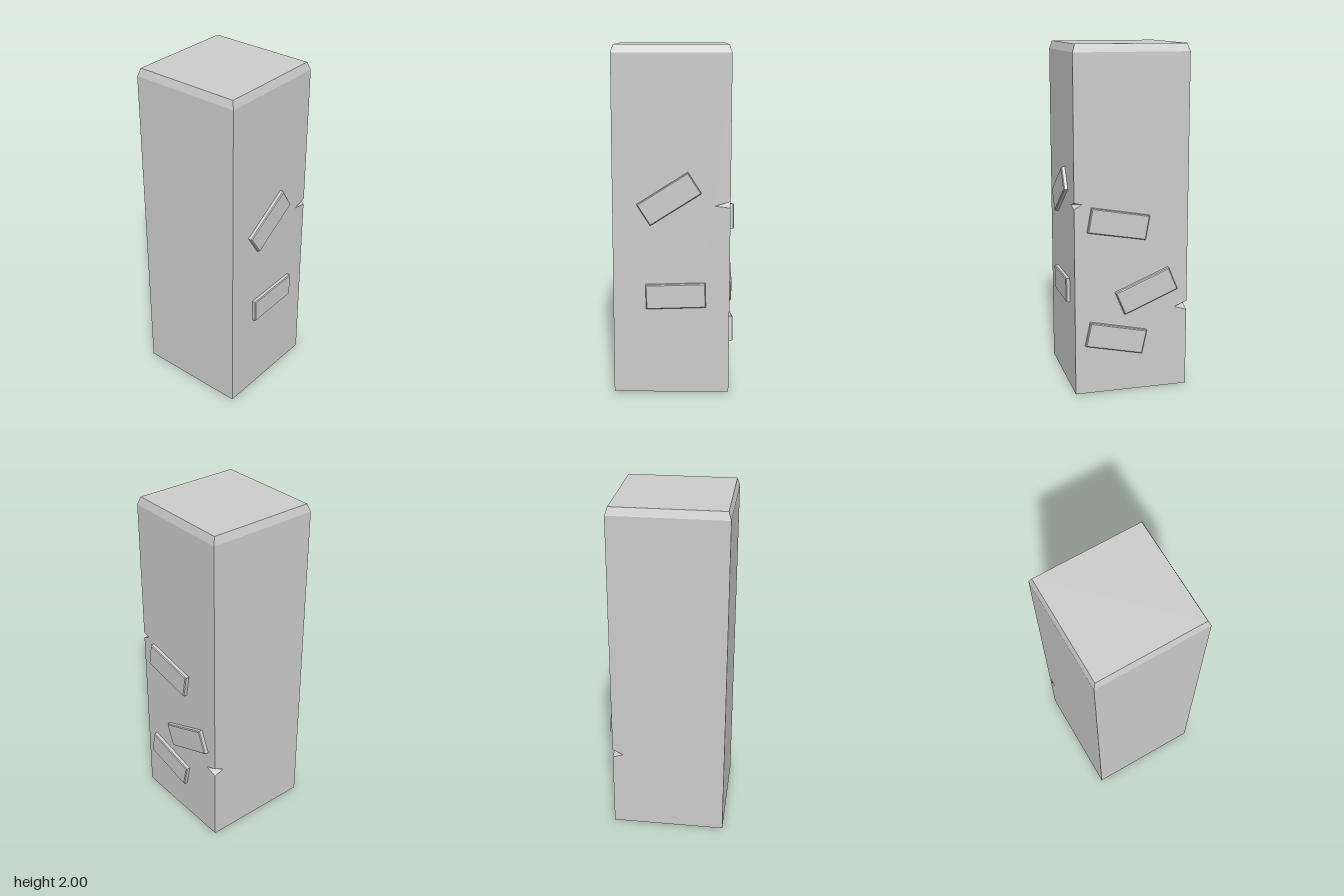
import * as THREE from 'three';

const X0 = -0.346, X1 = 0.319, Z0 = -0.346, Z1 = 0.321; // pillar walls
const SHOULDER = 1.955, TOP = 2, INSET = 0.015;

const material = new THREE.MeshStandardMaterial({ color: 0xcccccc, flatShading: true });

// Triangulates a flat polygon and turns it to face along the hint direction
function addFace(out, points, hint) {
  const pts = points.map((p) => new THREE.Vector3(...p));
  const n = new THREE.Vector3();
  pts.forEach((p, i) => n.add(p.clone().cross(pts[(i + 1) % pts.length])));
  if (n.dot(new THREE.Vector3(...hint)) < 0) {
    pts.reverse();
    n.negate();
  }
  const q = new THREE.Quaternion().setFromUnitVectors(n.normalize(), new THREE.Vector3(0, 0, 1));
  const flat = pts.map((p) => {
    const v = p.clone().applyQuaternion(q);
    return new THREE.Vector2(v.x, v.y);
  });
  for (const tri of THREE.ShapeUtils.triangulateShape(flat, [])) {
    for (const i of tri) out.push(...pts[i].toArray());
  }
}

// Square pillar with a chamfered top and two chipped corners
function createPillar() {
  const out = [];
  // Each chip: upper and lower points on the corner edge, and a tip on either wall
  const frontChip = {
    top: [X1, 1.133, Z1], low: [X1, 1.096, Z1],
    wall: [0.23, 1.107, Z1], side: [X1, 1.123, 0.275], into: 1,
  };
  const backChip = {
    top: [X1, 0.513, Z0], low: [X1, 0.46, Z0],
    wall: [0.256, 0.482, Z0], side: [X1, 0.484, -0.271], into: -1,
  };

  // Walls
  addFace(out, [[X0, 0, Z1], [X1, 0, Z1], frontChip.low, frontChip.wall, frontChip.top,
    [X1, SHOULDER, Z1], [X0, SHOULDER, Z1]], [0, 0, 1]);
  addFace(out, [[X0, 0, Z0], [X1, 0, Z0], backChip.low, backChip.wall, backChip.top,
    [X1, SHOULDER, Z0], [X0, SHOULDER, Z0]], [0, 0, -1]);
  addFace(out, [[X1, 0, Z1], [X1, 0, Z0], backChip.low, backChip.side, backChip.top,
    [X1, SHOULDER, Z0], [X1, SHOULDER, Z1], frontChip.top, frontChip.side, frontChip.low], [1, 0, 0]);
  addFace(out, [[X0, 0, Z0], [X0, 0, Z1], [X0, SHOULDER, Z1], [X0, SHOULDER, Z0]], [-1, 0, 0]);

  // Inner faces of the chips
  for (const c of [frontChip, backChip]) {
    addFace(out, [c.top, c.wall, c.side], [0.1, -1, 0.1 * c.into]);
    addFace(out, [c.low, c.wall, c.side], [0.1, 1, 0.1 * c.into]);
  }

  // Chamfer, cap and base
  const ring = (y, d) => [[X0 + d, y, Z0 + d], [X1 - d, y, Z0 + d], [X1 - d, y, Z1 - d], [X0 + d, y, Z1 - d]];
  const lower = ring(SHOULDER, 0), upper = ring(TOP, INSET);
  const sides = [[0, 0.3, -1], [1, 0.3, 0], [0, 0.3, 1], [-1, 0.3, 0]];
  sides.forEach((hint, i) => {
    const j = (i + 1) % 4;
    addFace(out, [lower[i], lower[j], upper[j], upper[i]], hint);
  });
  addFace(out, upper, [0, 1, 0]);
  addFace(out, ring(0, 0), [0, -1, 0]);

  const geometry = new THREE.BufferGeometry();
  geometry.setAttribute('position', new THREE.Float32BufferAttribute(out, 3));
  geometry.computeVertexNormals();
  const mesh = new THREE.Mesh(geometry, material);
  mesh.name = 'pillar';
  return mesh;
}

// Thin brick with a bevelled outer rim, its face at local z = 0
function createBrick() {
  const w = 0.342, h = 0.143, depth = 0.03, bevel = 0.005;
  const x = w / 2 - bevel, y = h / 2 - bevel;
  const shape = new THREE.Shape([
    new THREE.Vector2(-x, -y), new THREE.Vector2(x, -y),
    new THREE.Vector2(x, y), new THREE.Vector2(-x, y),
  ]);
  const geometry = new THREE.ExtrudeGeometry(shape, {
    depth, bevelEnabled: true, bevelSize: bevel, bevelThickness: bevel, bevelSegments: 1,
  });
  geometry.translate(0, 0, -depth - bevel);
  return geometry;
}

export function createModel() {
  const model = new THREE.Group();
  model.name = 'stonePillar';
  model.add(createPillar());

  // Raised bricks: [offset along the wall, height, tilt in degrees]
  const brick = createBrick();
  const walls = [
    { name: 'frontBricks', turn: 0, bricks: [[-0.027, 1.149, 32.5], [0.011, 0.585, 1.7]] },
    { name: 'leftBricks', turn: Math.PI / 2, bricks: [[-0.068, 1.003, -10], [0.098, 0.599, 22.5], [-0.082, 0.328, -12.2]] },
  ];
  for (const { name, turn, bricks } of walls) {
    const group = new THREE.Group();
    group.name = name;
    group.rotation.y = turn;
    for (const [along, height, tilt] of bricks) {
      const mesh = new THREE.Mesh(brick, material);
      mesh.name = 'brick';
      mesh.position.set(along, height, 0.344);
      mesh.rotation.z = THREE.MathUtils.degToRad(tilt);
      group.add(mesh);
    }
    model.add(group);
  }
  return model;
}
